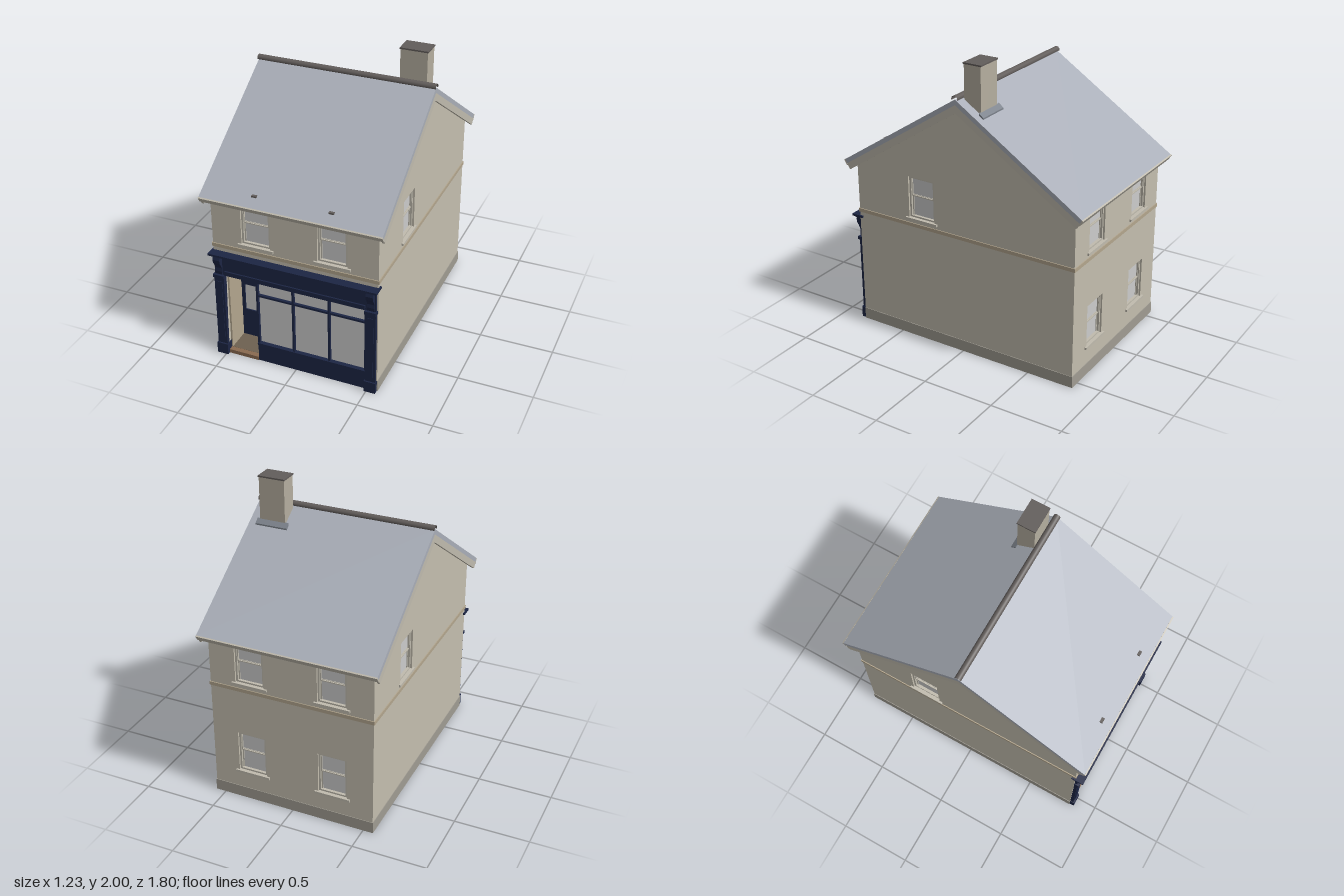
import * as THREE from 'three';

const mat = (color, side = THREE.FrontSide) => new THREE.MeshStandardMaterial({ color, side });
const M = {
  wall: mat(0xc4beaf), trim: mat(0xb3a68e), plinth: mat(0xa09c92), frame: mat(0xc0bbae),
  glass: mat(0xcccccc), navy: mat(0x1c2544), roof: mat(0xa9aeb8), ridge: mat(0x625d5b, THREE.DoubleSide),
  brick: mat(0xb5ae9f), lead: mat(0x7d838c), floor: mat(0x6e6151), step: mat(0x8a6a50),
};

function add(parent, name, geo, material) {
  const m = new THREE.Mesh(geo, material);
  m.name = name;
  parent.add(m);
  return m;
}

// Box given by its limits along each axis
function box(parent, name, material, x0, x1, y0, y1, z0, z1) {
  const g = new THREE.BoxGeometry(x1 - x0, y1 - y0, z1 - z0);
  g.translate((x0 + x1) / 2, (y0 + y1) / 2, (z0 + z1) / 2);
  return add(parent, name, g, material);
}

const shapeOf = (pts) => new THREE.Shape(pts.map(([x, y]) => new THREE.Vector2(x, y)));

// Profile given as (z, y), extruded along x from x0 to x1
function extrudeX(parent, name, material, pts, x0, x1) {
  const g = new THREE.ExtrudeGeometry(shapeOf(pts.map(([z, y]) => [-z, y])), { depth: x1 - x0, bevelEnabled: false });
  g.rotateY(Math.PI / 2);
  g.translate(x0, 0, 0);
  return add(parent, name, g, material);
}

// Rectangular frame with an opening, facing +z with its front at z
function frame(parent, name, material, x0, x1, y0, y1, bar, z, depth) {
  const s = shapeOf([[x0, y0], [x1, y0], [x1, y1], [x0, y1]]);
  s.holes.push(shapeOf([[x0 + bar, y0 + bar], [x0 + bar, y1 - bar], [x1 - bar, y1 - bar], [x1 - bar, y0 + bar]]));
  const g = new THREE.ExtrudeGeometry(s, { depth, bevelEnabled: false });
  g.translate(0, 0, z - depth);
  return add(parent, name, g, material);
}

const W = 0.565, D = 0.825, WIN_H = 0.29;

// Sliding sash window with its sill, standing at (x, y)
function sashWindow(parent, x, y) {
  const w = new THREE.Group();
  w.name = 'sashWindow';
  w.position.set(x, y, 0);
  frame(w, 'windowFrame', M.frame, -0.1, 0.1, 0, WIN_H, 0.013, -0.012, 0.03);
  frame(w, 'lowerSash', M.frame, -0.088, 0.088, 0.004, 0.16, 0.009, -0.026, 0.01);
  frame(w, 'upperSash', M.frame, -0.088, 0.088, 0.15, WIN_H - 0.005, 0.007, -0.018, 0.01);
  box(w, 'pane', M.glass, -0.09, 0.09, 0.003, WIN_H - 0.004, -0.038, -0.031);
  box(w, 'windowSill', M.frame, -0.123, 0.123, -0.014, 0.002, -0.03, 0.013);
  parent.add(w);
}

// One wall with window openings; its outer face is turned to the given angle
function facade(parent, name, outline, windows, distance, angle) {
  const f = new THREE.Group();
  f.name = name;
  const s = shapeOf(outline);
  for (const [x, y] of windows) {
    s.holes.push(shapeOf([[x - 0.1, y], [x - 0.1, y + WIN_H], [x + 0.1, y + WIN_H], [x + 0.1, y]]));
    sashWindow(f, x, y);
  }
  const g = new THREE.ExtrudeGeometry(s, { depth: 0.04, bevelEnabled: false });
  g.translate(0, 0, -0.04);
  add(f, 'wall', g, M.wall);
  f.rotation.y = angle;
  f.position.set(Math.sin(angle) * distance, 0, Math.cos(angle) * distance);
  parent.add(f);
}

// Chevron section between two depths below the roof surface
function chevron(t0, t1) {
  const edge = (t) => [[-0.893 + 0.546 * t, 1.198 - 0.838 * t], [0, 1.78 - t / 0.838], [0.893 - 0.546 * t, 1.198 - 0.838 * t]];
  return [...edge(t0), ...edge(t1).reverse()];
}

function buildWalls(root) {
  const gable = [[-D, 0], [D, 0], [D, 1.2], [0, 1.738], [-D, 1.2]];
  facade(root, 'frontWall', [[-W, 0], [-0.49, 0], [-0.49, 0.62], [0.49, 0.62], [0.49, 0], [W, 0], [W, 1.2], [-W, 1.2]],
    [[-0.26, 0.88], [0.26, 0.88]], D, 0);
  facade(root, 'backWall', [[-W, 0], [W, 0], [W, 1.2], [-W, 1.2]],
    [[-0.285, 0.88], [0.285, 0.88], [-0.285, 0.21], [0.285, 0.21]], D, Math.PI);
  for (const s of [-1, 1]) {
    facade(root, s > 0 ? 'leftGable' : 'rightGable', gable, [[-0.31, 0.88]], W, s * Math.PI / 2);
    const x = s * (W - 0.01);
    box(root, 'sidePlinth', M.plinth, x - 0.014, x + 0.014, 0, 0.08, -D - 0.004, D);
  }
  box(root, 'backPlinth', M.plinth, -W, W, 0, 0.08, -D - 0.004, -D + 0.02);
  box(root, 'stringCourse', M.trim, -W - 0.006, W + 0.006, 0.82, 0.845, -D - 0.006, D + 0.006);
  box(root, 'groundFloor', M.floor, -0.53, 0.53, 0.02, 0.028, -0.79, 0.8);
  box(root, 'floorBeam', M.plinth, -0.53, 0.53, 0.005, 0.025, 0.48, 0.5);
}

function buildRoof(root) {
  extrudeX(root, 'roof', M.roof, chevron(0, 0.03), -0.61, 0.61);
  for (const s of [-1, 1]) {
    extrudeX(root, 'bargeBoard', M.frame, chevron(0.03, 0.075), s * 0.602 - 0.008, s * 0.602 + 0.008);
    const eave = add(root, 'eavesFascia', new THREE.BoxGeometry(1.222, 0.042, 0.01), M.frame);
    eave.position.set(0, 1.18, s * 0.883);
    eave.rotation.x = s * 0.577;
    const vent = add(root, 'roofVent', new THREE.BoxGeometry(0.035, 0.01, 0.02), M.ridge);
    vent.position.set(s * 0.257, 1.247, 0.822);
  }
  const ridge = new THREE.CylinderGeometry(0.022, 0.022, 1.23, 16, 1, true, -0.3, Math.PI + 0.6);
  ridge.rotateZ(Math.PI / 2);
  add(root, 'ridgeTiles', ridge, M.ridge).position.y = 1.783;
  box(root, 'chimney', M.brick, 0.36, 0.54, 1.6, 1.99, -0.143, -0.022);
  box(root, 'chimneyCap', M.ridge, 0.356, 0.544, 1.99, 2, -0.147, -0.018);
  extrudeX(root, 'chimneyFlashing', M.lead,
    [[-0.14, 1.68], [-0.14, 1.705], [-0.172, 1.678], [-0.172, 1.66]], 0.335, 0.56);
}

function buildShopfront(root) {
  const shop = new THREE.Group();
  shop.name = 'shopfront';
  root.add(shop);
  const bracket = [[0.83, 0.625], [0.846, 0.625], [0.85, 0.65], [0.848, 0.675], [0.858, 0.7],
    [0.872, 0.72], [0.876, 0.745], [0.87, 0.77], [0.83, 0.77]];
  for (const s of [-1, 1]) {
    const x = s * 0.524;
    box(shop, 'pilaster', M.navy, x - 0.034, x + 0.034, 0.08, 0.6, 0.78, 0.848);
    box(shop, 'pilasterPanel', M.navy, x - 0.02, x + 0.02, 0.11, 0.57, 0.84, 0.852);
    box(shop, 'pilasterBase', M.navy, x - 0.039, x + 0.039, 0, 0.08, 0.78, 0.858);
    box(shop, 'pilasterCapital', M.navy, x - 0.038, x + 0.038, 0.6, 0.622, 0.8, 0.86);
    extrudeX(shop, 'consoleBracket', M.navy, bracket, x - 0.024, x + 0.024);
  }
  // Signboard and cornice
  box(shop, 'fascia', M.navy, -0.555, 0.555, 0.62, 0.77, 0.78, 0.84);
  box(shop, 'fasciaRail', M.navy, -0.485, 0.485, 0.625, 0.655, 0.83, 0.85);
  box(shop, 'corniceLower', M.navy, -0.563, 0.563, 0.765, 0.78, 0.8, 0.87);
  box(shop, 'cornice', M.navy, -0.576, 0.576, 0.778, 0.792, 0.8, 0.887);

  // Display window
  box(shop, 'stallRiser', M.navy, -0.27, 0.49, 0, 0.135, 0.79, 0.83);
  box(shop, 'displaySill', M.navy, -0.27, 0.49, 0.13, 0.145, 0.79, 0.84);
  box(shop, 'displayGlass', M.glass, -0.265, 0.49, 0.14, 0.615, 0.805, 0.811);
  box(shop, 'windowHead', M.navy, -0.27, 0.49, 0.61, 0.625, 0.79, 0.832);
  box(shop, 'transom', M.navy, -0.265, 0.49, 0.508, 0.522, 0.795, 0.83);
  for (const x of [-0.264, -0.013, 0.236, 0.485])
    box(shop, 'mullion', M.navy, x - 0.007, x + 0.007, 0.14, 0.615, 0.79, 0.832);

  // Recessed entrance
  const zd = 0.635;
  box(shop, 'doorStep', M.step, -0.49, -0.27, 0, 0.027, zd - 0.02, 0.835);
  box(shop, 'recessWall', M.trim, -0.5, -0.478, 0, 0.625, zd - 0.02, 0.8);
  box(shop, 'recessCeiling', M.frame, -0.5, -0.26, 0.62, 0.635, zd - 0.02, 0.8);
  box(shop, 'recessRiser', M.navy, -0.272, -0.255, 0, 0.14, zd, 0.8);
  box(shop, 'recessGlass', M.glass, -0.268, -0.26, 0.14, 0.62, zd, 0.8);
  box(shop, 'recessTransom', M.navy, -0.272, -0.255, 0.508, 0.522, zd, 0.8);
  box(shop, 'doorHead', M.navy, -0.48, -0.265, 0.455, 0.47, zd - 0.02, zd + 0.012);
  box(shop, 'doorPost', M.navy, -0.278, -0.262, 0.027, 0.62, zd - 0.02, zd + 0.012);
  box(shop, 'fanlight', M.glass, -0.478, -0.275, 0.465, 0.62, zd - 0.015, zd - 0.008);
  box(shop, 'doorPanel', M.navy, -0.478, -0.275, 0.027, 0.235, zd - 0.015, zd + 0.005);
  box(shop, 'doorTopRail', M.navy, -0.478, -0.275, 0.435, 0.457, zd - 0.015, zd + 0.005);
  for (const x of [-0.467, -0.284])
    box(shop, 'doorStile', M.navy, x - 0.012, x + 0.012, 0.23, 0.44, zd - 0.015, zd + 0.005);
  box(shop, 'doorGlass', M.glass, -0.46, -0.29, 0.23, 0.44, zd - 0.012, zd - 0.004);
}

export function createModel() {
  const root = new THREE.Group();
  root.name = 'cornerShopHouse';
  buildWalls(root);
  buildRoof(root);
  buildShopfront(root);
  return root;
}
